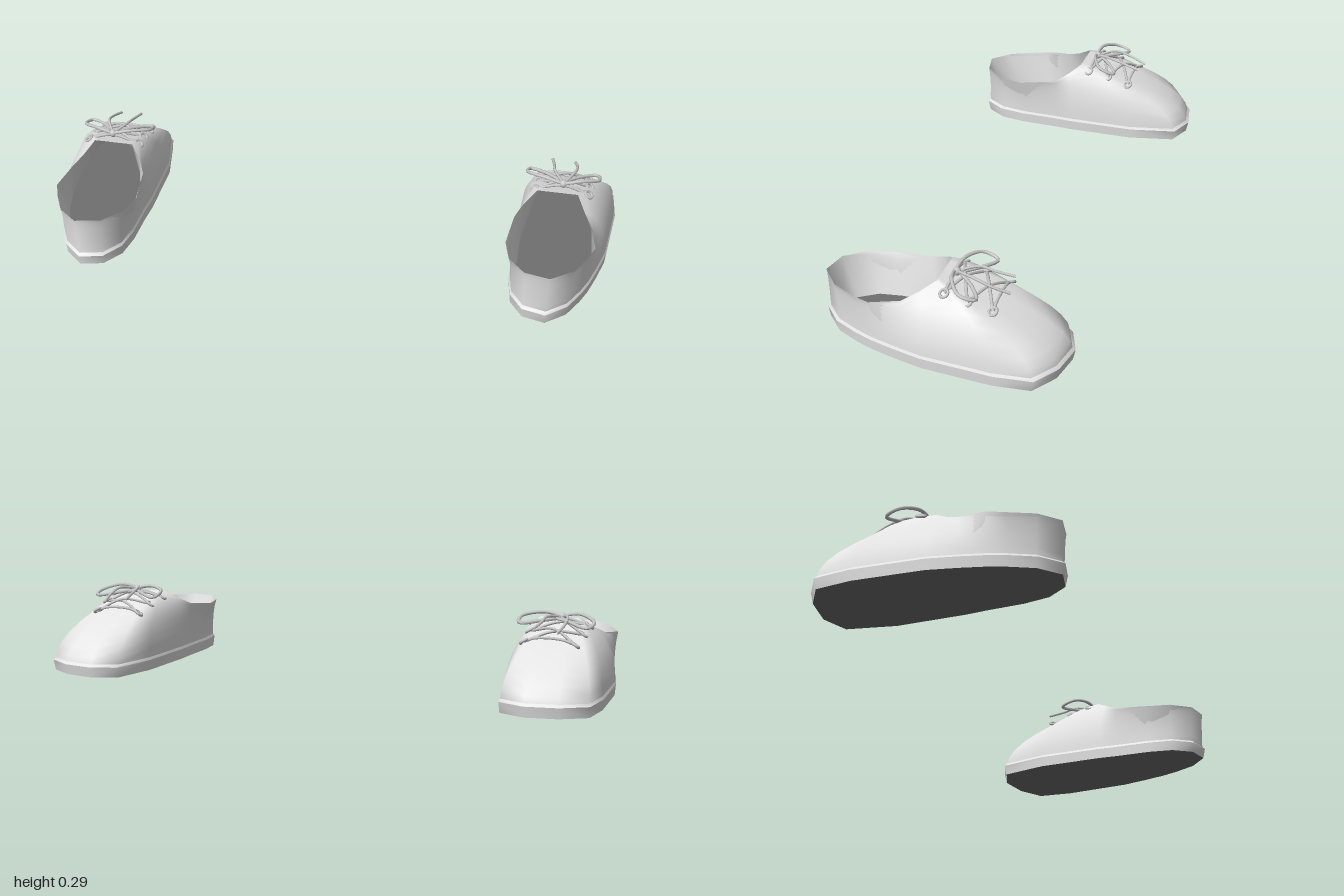
import * as THREE from 'three';

const CX = 0.81; // centre line of one shoe
const mats = {
  upper: new THREE.MeshStandardMaterial({ name: 'paleGrey', color: 0xe4e4e4, side: THREE.DoubleSide }),
  lace: new THREE.MeshStandardMaterial({ name: 'laceGrey', color: 0xc8c8c8 }),
  sole: new THREE.MeshStandardMaterial({ name: 'darkGrey', color: 0x707070, side: THREE.DoubleSide }),
};

// Columns around the shoe from the toe: base x, base z, rim x, rim y, rim z, fullness
const COLUMNS = [
  [0.79, -0.41, 0.795, 0.262, 0.01, 0.5],
  [0.9, -0.39, 0.83, 0.262, 0.01, 0.5],
  [0.985, -0.335, 0.85, 0.262, 0.01, 0.6],
  [0.997, -0.21, 0.864, 0.262, 0.01, 0.8],
  [0.98, 0.03, 0.893, 0.228, 0.06, 0.8],
  [0.957, 0.13, 0.922, 0.203, 0.11, 0.8],
  [0.935, 0.21, 0.943, 0.19, 0.21, 0.8],
  [0.912, 0.27, 0.92, 0.187, 0.27, 0.8],
  [0.872, 0.35, 0.88, 0.188, 0.35, 0.8],
  [0.805, 0.41, 0.81, 0.19, 0.408, 0.8],
  [0.727, 0.39, 0.725, 0.19, 0.39, 0.8],
  [0.68, 0.32, 0.666, 0.188, 0.32, 0.8],
  [0.666, 0.23, 0.645, 0.187, 0.23, 0.8],
  [0.664, 0.1, 0.66, 0.205, 0.1, 0.8],
  [0.66, 0.03, 0.685, 0.23, 0.055, 0.8],
  [0.664, -0.21, 0.725, 0.262, 0.01, 0.8],
  [0.7, -0.375, 0.75, 0.262, 0.01, 0.6],
];

// Base outline scaled about the shoe centre, at one height
const outline = (scale, y) =>
  COLUMNS.map(([x, z]) => [CX + (x - CX) * scale, y, z * scale]);

// Ring of the upper: angle 0 is the welt, 90 degrees is the rim
function upperRing(angle) {
  const h = 1 - Math.cos(angle);
  return outline(0.985, 0.05).map(([x, y, z], i) => {
    const [, , rx, ry, rz, full] = COLUMNS[i];
    const v = h + (Math.sin(angle) - h) * full;
    return [x + (rx - x) * h, y + (ry - y) * v, z + (rz - z) * h];
  });
}

// Skin joining closed rings, mirrored for side -1
function loft(rings, side) {
  const n = COLUMNS.length;
  const positions = [];
  const index = [];
  for (const ring of rings) for (const [x, y, z] of ring) positions.push(x * side, y, z);
  const tri = (a, b, c) => (side > 0 ? index.push(a, b, c) : index.push(a, c, b));
  for (let r = 0; r < rings.length - 1; r++) {
    for (let i = 0; i < n; i++) {
      const a = r * n + i;
      const b = r * n + ((i + 1) % n);
      tri(a, a + n, b);
      tri(b, a + n, b + n);
    }
  }
  const geo = new THREE.BufferGeometry();
  geo.setAttribute('position', new THREE.Float32BufferAttribute(positions, 3));
  geo.setIndex(index);
  geo.computeVertexNormals();
  return geo;
}

function makeShoe(side, name) {
  const shoe = new THREE.Group();
  shoe.name = name;
  const add = (part, geo, mat) => {
    const mesh = new THREE.Mesh(geo, mat);
    mesh.name = part;
    shoe.add(mesh);
    return mesh;
  };
  const skin = (part, rings, mat) => add(part, loft(rings, side), mat);
  const cord = (part, points, closed = false, radius = 0.005) => {
    const curve = new THREE.CatmullRomCurve3(
      points.map(([x, y, z]) => new THREE.Vector3(x * side, y, z)), closed);
    add(part, new THREE.TubeGeometry(curve, closed ? 28 : 14, radius, 6, closed), mats.lace);
  };

  // Sole with its welt
  skin('outsole', [outline(0.01, 0), outline(0.9, 0.002), outline(0.99, 0.006)], mats.sole);
  skin('soleWall', [outline(0.99, 0.006), outline(1.01, 0.043)], mats.upper);
  skin('welt', [outline(1.01, 0.043), outline(0.985, 0.052)], mats.upper);

  // Upper, lining and insole
  const rings = [];
  for (let i = 0; i <= 8; i++) rings.push(upperRing((i / 8) * Math.PI / 2));
  skin('upper', rings, mats.upper);
  skin('lining', [upperRing(Math.PI / 2), outline(0.87, 0.045)], mats.upper);
  skin('insole', [outline(0.88, 0.048), outline(0.01, 0.048)], mats.sole);

  // Three pairs of eyelets
  const rows = [[-0.18, 0.206, 0.722, 0.893], [-0.1, 0.228, 0.718, 0.9], [-0.025, 0.245, 0.712, 0.9]];
  for (const [z, y, x0, x1] of rows) {
    for (const [x, tilt] of [[x0, -1], [x1, 1]]) {
      const ring = add('eyelet', new THREE.TorusGeometry(0.014, 0.005, 6, 12), mats.lace);
      ring.position.set(x * side, y, z);
      ring.rotation.set(-Math.PI / 2 + 0.25, tilt * side * 0.6, 0);
    }
  }

  // Straight bar at the toe end, then crossed laces
  const [zb, yb, xa, xb] = rows[0];
  cord('laceBar', [[xa, yb, zb], [0.76, 0.22, zb], [0.85, 0.22, zb], [xb, yb, zb]]);
  for (let r = 0; r < 2; r++) {
    const [z0, y0, l0, r0] = rows[r];
    const [z1, y1, l1, r1] = rows[r + 1];
    const mid = (y0 + y1) / 2 + 0.022;
    cord('crossLace', [[l0, y0, z0], [CX, mid, (z0 + z1) / 2], [r1, y1, z1]]);
    cord('crossLace', [[r0, y0, z0], [CX, mid + 0.008, (z0 + z1) / 2], [l1, y1, z1]]);
  }
  const [zt, yt, lt, rt] = rows[2];
  cord('topLace', [[lt, yt, zt], [CX, 0.268, -0.03], [rt, yt, zt]]);

  // Bow: knot, two loops and two loose ends
  const knot = add('bowKnot', new THREE.SphereGeometry(0.014, 10, 8), mats.lace);
  knot.position.set(CX * side, 0.271, -0.035);
  cord('bowLoop', [[CX, 0.272, -0.035], [0.87, 0.285, -0.04], [0.93, 0.268, -0.085],
    [0.92, 0.255, -0.135], [0.86, 0.262, -0.1]], true, 0.006);
  cord('bowLoop', [[CX, 0.272, -0.035], [0.75, 0.285, -0.04], [0.685, 0.275, -0.08],
    [0.69, 0.258, -0.13], [0.75, 0.264, -0.1]], true, 0.006);
  cord('looseEnd', [[CX, 0.272, -0.035], [0.845, 0.282, -0.1], [0.85, 0.265, -0.16], [0.84, 0.245, -0.22]]);
  cord('looseEnd', [[CX, 0.272, -0.035], [0.775, 0.28, -0.1], [0.77, 0.268, -0.15], [0.76, 0.255, -0.21]]);
  return shoe;
}

export function createModel() {
  const group = new THREE.Group();
  group.name = 'pairOfShoes';
  group.add(makeShoe(1, 'leftShoe'), makeShoe(-1, 'rightShoe'));
  return group;
}
